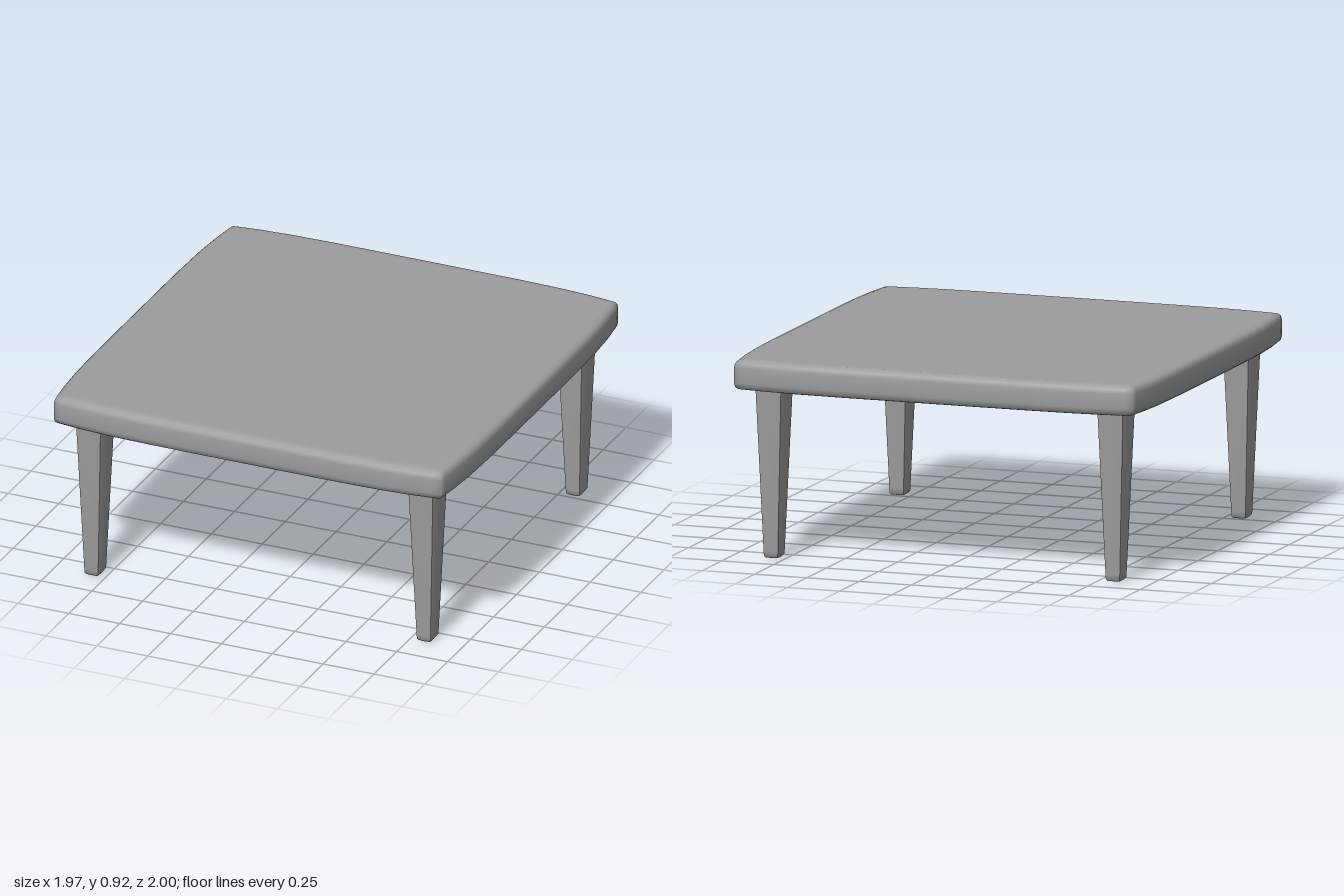
import * as THREE from 'three';
import { toCreasedNormals } from 'three/addons/utils/BufferGeometryUtils.js';

const material = new THREE.MeshStandardMaterial({ color: 0x9d9d9d });

// Rectangle outline whose sides bow outward by `bulge`
function bowedRectangle(hx, hz, bulge, power, n) {
  const points = [];
  for (let side = 0; side < 4; side++) {
    for (let i = 0; i < n; i++) {
      const t = Math.sin((i / n - 0.5) * Math.PI);
      const drop = bulge * Math.abs(t) ** power;
      if (side === 0) points.push([hx - drop, t * (hz - bulge)]);
      if (side === 1) points.push([-t * (hx - bulge), hz - drop]);
      if (side === 2) points.push([drop - hx, -t * (hz - bulge)]);
      if (side === 3) points.push([t * (hx - bulge), drop - hz]);
    }
  }
  return points;
}

// Skin through rings of [halfX, halfZ, bulge, y]
function loft(rings, power, n, crease) {
  const positions = [];
  const index = [];
  const count = n * 4;
  rings.forEach(([hx, hz, bulge, y], k) => {
    for (const [x, z] of bowedRectangle(hx, hz, bulge, power, n)) positions.push(x, y, z);
    if (k === 0) return;
    for (let i = 0; i < count; i++) {
      const j = (i + 1) % count;
      const a = (k - 1) * count + i, b = (k - 1) * count + j;
      const c = k * count + i, d = k * count + j;
      index.push(a, c, b, b, c, d);
    }
  });
  const geometry = new THREE.BufferGeometry();
  geometry.setAttribute('position', new THREE.Float32BufferAttribute(positions, 3));
  geometry.setIndex(index);
  return toCreasedNormals(geometry, crease);
}

function addPart(parent, name, geometry) {
  const mesh = new THREE.Mesh(geometry, material);
  mesh.name = name;
  parent.add(mesh);
  return mesh;
}

export function createModel() {
  const table = new THREE.Group();
  table.name = 'table';

  // Top slab: [inset, height] from the recessed underside, round the rim, to the upper face
  const profile = [
    [0.1, 0.85], [0.1, 0.795], [0.095, 0.783], [0.08, 0.776], [0.075, 0.775],
    [0.035, 0.775], [0.015, 0.78], [0.004, 0.79], [0, 0.81], [0, 0.88],
    [0.004, 0.9], [0.015, 0.911], [0.035, 0.916], [0.06, 0.916],
  ];
  const topRings = profile.map(([inset, y]) => [0.985 - inset, 1 - inset, 0.033, y]);
  topRings.unshift([0.001, 0.001, 0, 0.85]);
  topRings.push([0.001, 0.001, 0, 0.916]);
  addPart(table, 'tableTop', loft(topRings, 5, 12, 1.3));

  // Tapered legs with slightly bowed faces, reaching up into the recess
  const legGeometry = loft([
    [0.001, 0.001, 0, 0], [0.03, 0.04, 0.003, 0], [0.036, 0.047, 0.003, 0.008],
    [0.038, 0.049, 0.004, 0.03], [0.068, 0.085, 0.008, 0.76], [0.071, 0.089, 0.008, 0.852],
  ], 2, 6, 0.9);
  for (const [zName, z] of [['front', 0.813], ['back', -0.813]]) {
    for (const [xName, x] of [['Left', 0.817], ['Right', -0.817]]) {
      addPart(table, `${zName}${xName}Leg`, legGeometry).position.set(x, 0, z);
    }
  }
  return table;
}
